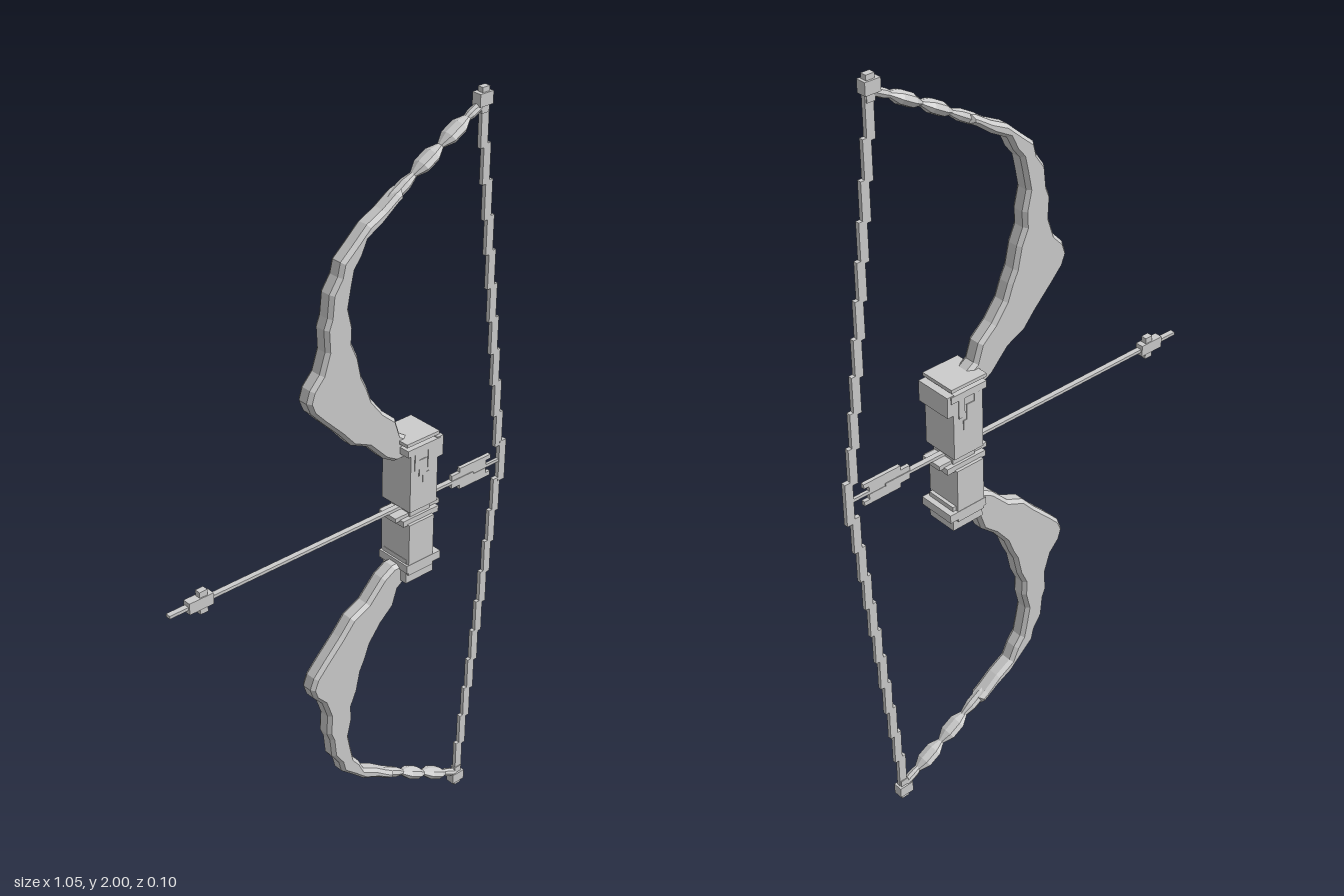
import * as THREE from 'three';

const grey = new THREE.MeshStandardMaterial({ color: 0xcccccc, flatShading: true });
grey.name = 'lightGrey';

function add(parent, name, geometry, x = 0, y = 0, z = 0) {
  const mesh = new THREE.Mesh(geometry, grey);
  mesh.name = name;
  mesh.position.set(x, y, z);
  parent.add(mesh);
  return mesh;
}

// Box given by its x and y limits and its half depth in z
function block(parent, name, x0, x1, y0, y1, hz) {
  return add(parent, name, new THREE.BoxGeometry(x1 - x0, y1 - y0, hz * 2), (x0 + x1) / 2, (y0 + y1) / 2);
}

// Limb outline, heights measured from the arrow line
const limbOutline = [
  [0.145, 0.832], [0.13, 0.826], [0.09, 0.80], [0.045, 0.778], [0.005, 0.742],
  [-0.03, 0.712], [-0.038, 0.68], [-0.062, 0.645], [-0.068, 0.59], [-0.078, 0.565], [-0.075, 0.51],
  [-0.092, 0.46], [-0.12, 0.43], [-0.13, 0.40], [-0.118, 0.37], [-0.085, 0.335], [-0.035, 0.285],
  [0.0, 0.245], [0.05, 0.222], [0.10, 0.17], [0.135, 0.15], [0.18, 0.15], [0.18, 0.20],
  [0.15, 0.22], [0.135, 0.265], [0.095, 0.30], [0.06, 0.345], [0.045, 0.385], [0.03, 0.415],
  [0.018, 0.47], [0.0, 0.51], [0.002, 0.55], [-0.01, 0.60], [0.0, 0.65], [0.008, 0.685],
  [0.028, 0.71], [0.045, 0.745], [0.09, 0.77], [0.13, 0.80], [0.15, 0.812],
];

// Faceted bead stretched between two points of the limb end
function bead(parent, ax, ay, bx, by, radius, flat) {
  const length = Math.hypot(bx - ax, by - ay);
  const profile = [[0.007, -0.5], [radius, -0.18], [radius, 0.18], [0.007, 0.5]]
    .map(([r, t]) => new THREE.Vector2(r, t * length));
  const geo = new THREE.LatheGeometry(profile, 8).scale(flat, 1, 1);
  const mesh = add(parent, 'limbBead', geo, (ax + bx) / 2, (ay + by) / 2);
  mesh.rotation.z = Math.atan2(by - ay, bx - ax) - Math.PI / 2;
}

function createHalf() {
  const half = new THREE.Group();
  // Curved limb with bevelled edges
  const shape = new THREE.Shape(limbOutline.map(([x, y]) => new THREE.Vector2(x, y)));
  const limb = new THREE.ExtrudeGeometry(shape, {
    depth: 0.026, bevelEnabled: true, bevelThickness: 0.01, bevelSize: 0.008, bevelOffset: -0.008, bevelSegments: 1,
  }).translate(0, 0, -0.013);
  add(half, 'limb', limb);
  // Beaded limb end
  bead(half, 0.10, 0.795, 0.20, 0.853, 0.016, 0.85);
  bead(half, 0.185, 0.846, 0.275, 0.897, 0.024, 0.65);
  bead(half, 0.265, 0.892, 0.355, 0.942, 0.024, 0.65);
  bead(half, 0.34, 0.934, 0.40, 0.964, 0.012, 0.9);
  // Notched tip
  block(half, 'tip', 0.387, 0.409, 0.94, 1.0, 0.008);
  block(half, 'tipCollar', 0.376, 0.416, 0.958, 0.988, 0.013);
  // Stepped bowstring
  const steps = 10;
  for (let i = 0; i < steps; i++) {
    const top = 0.955 - i * 0.09;
    const x = 0.401 + i * 0.0105;
    block(half, 'bowstring', x - 0.011, x + 0.011, top - 0.098, top, 0.0055);
  }
  return half;
}

function createGrip() {
  const grip = new THREE.Group();
  grip.name = 'grip';
  // Upper grip with a thin raised cap
  block(grip, 'upperGrip', 0.156, 0.243, 1.012, 1.188, 0.05);
  block(grip, 'capNeck', 0.165, 0.24, 1.186, 1.2, 0.025);
  block(grip, 'gripCap', 0.143, 0.247, 1.197, 1.206, 0.05);
  block(grip, 'capLip', 0.24, 0.26, 1.135, 1.19, 0.05);
  // Jagged wrapping hanging from the cap, on both faces
  for (const [x0, x1, y0, y1] of [[0.145, 0.25, 1.17, 1.188], [0.168, 0.182, 1.125, 1.172],
    [0.182, 0.205, 1.105, 1.15], [0.195, 0.215, 1.085, 1.11], [0.21, 0.228, 1.12, 1.172]]) {
    block(grip, 'wrapping', x0, x1, y0, y1, 0.052);
  }
  // Arrow rest between the two grips
  block(grip, 'gripCore', 0.17, 0.235, 0.97, 1.02, 0.035);
  block(grip, 'arrowRest', 0.128, 0.272, 0.985, 0.997, 0.03);
  block(grip, 'restStep', 0.143, 0.258, 0.972, 0.988, 0.042);
  // Lower grip and foot band
  block(grip, 'lowerGrip', 0.156, 0.236, 0.83, 0.975, 0.05);
  block(grip, 'footBand', 0.15, 0.26, 0.838, 0.86, 0.051);
  block(grip, 'foot', 0.155, 0.245, 0.803, 0.872, 0.042);
  return grip;
}

function createArrow() {
  const arrow = new THREE.Group();
  arrow.name = 'arrow';
  const y = 1.003;
  block(arrow, 'shaft', -0.5, 0.41, y - 0.004, y + 0.004, 0.007);
  block(arrow, 'nock', 0.41, 0.505, y - 0.004, y + 0.004, 0.004);
  // Point and stepped head
  block(arrow, 'point', -0.525, -0.47, y - 0.004, y + 0.004, 0.007);
  block(arrow, 'head', -0.473, -0.405, y - 0.015, y + 0.015, 0.011);
  block(arrow, 'headBarb', -0.442, -0.42, y - 0.03, y + 0.03, 0.008);
  // Thin feathers above and below the shaft
  for (const s of [1, -1]) {
    const strip = (x0, x1, a, b) => block(arrow, 'feather', x0, x1, y + Math.min(s * a, s * b), y + Math.max(s * a, s * b), 0.005);
    strip(0.338, 0.455, 0.004, 0.018);
    strip(0.365, 0.47, 0.018, 0.03);
  }
  return arrow;
}

export function createModel() {
  const model = new THREE.Group();
  model.name = 'bowAndArrow';
  // The lower half is the upper half turned over
  for (const [name, turn] of [['upperHalf', 0], ['lowerHalf', Math.PI]]) {
    const half = createHalf();
    half.name = name;
    half.position.y = 1;
    half.rotation.x = turn;
    model.add(half);
  }
  block(model, 'stringCentre', 0.5, 0.522, 0.942, 1.058, 0.006);
  model.add(createGrip(), createArrow());
  return model;
}
